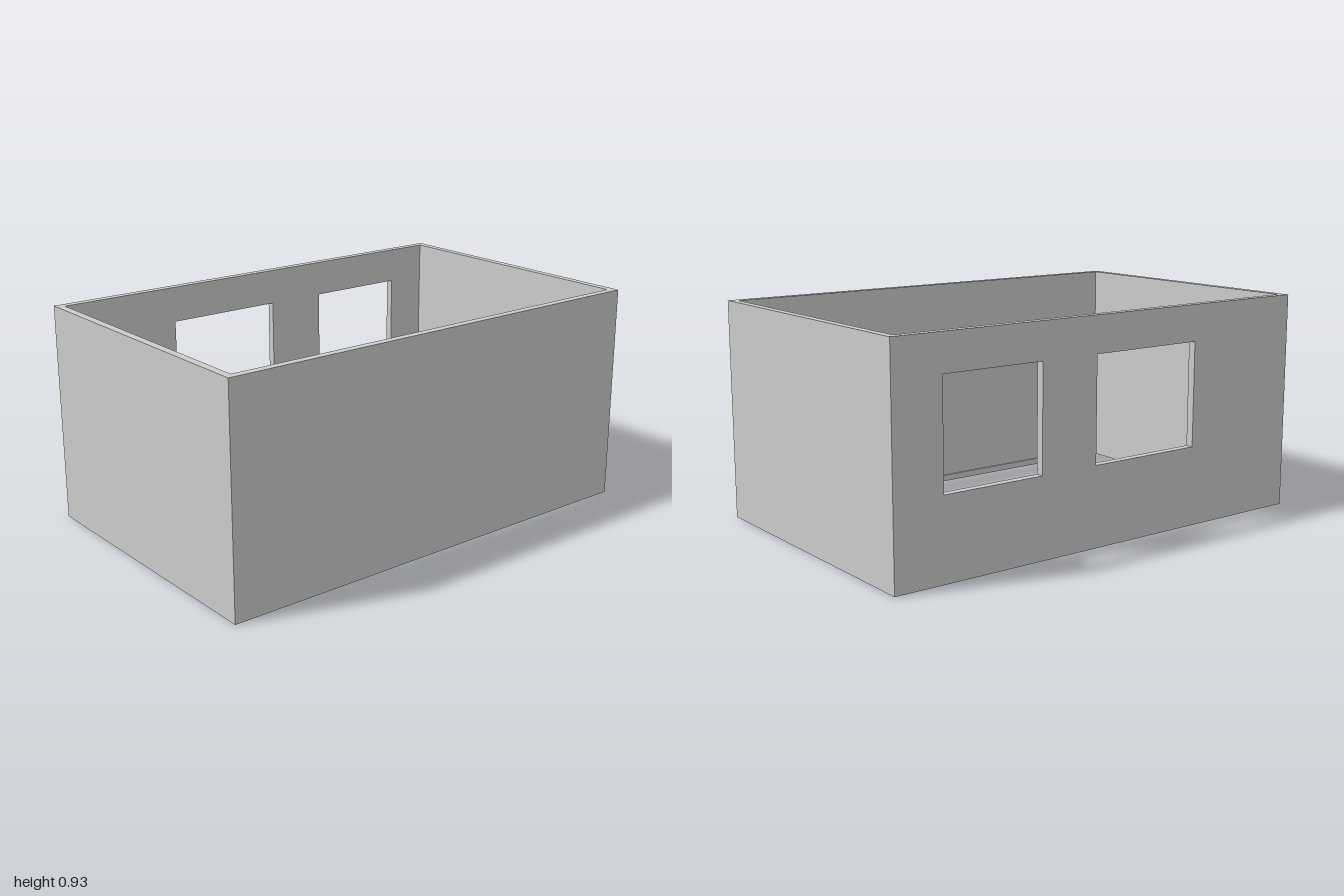
import * as THREE from 'three';

const W = 0.628, L = 1, H = 0.927, T = 0.033;   // half width, half length, height, wall thickness
const SK_H = 0.028, SK_T = 0.007;               // skirting height and thickness

export function createModel() {
  const group = new THREE.Group();
  group.name = 'roomShell';
  const plaster = new THREE.MeshStandardMaterial({ color: 0xcccccc });
  plaster.name = 'grey plaster';

  const add = (name, geometry) => {
    const mesh = new THREE.Mesh(geometry, plaster);
    mesh.name = name;
    group.add(mesh);
  };
  // Box given by its extents
  const block = (name, x0, x1, y0, y1, z0, z1) => add(name,
    new THREE.BoxGeometry(x1 - x0, y1 - y0, z1 - z0)
      .translate((x0 + x1) / 2, (y0 + y1) / 2, (z0 + z1) / 2));

  // Plain walls
  const ix = W - T, iz = L - T;
  block('leftWall', ix, W, 0, H, -L, L);
  block('frontWall', -ix, ix, 0, H, iz, L);
  block('backWall', -ix, ix, 0, H, -L, -iz);

  // Window wall: outline in (z, y) with two openings
  const rect = (Type, z0, z1, y0, y1) => new Type([
    new THREE.Vector2(z0, y0), new THREE.Vector2(z1, y0),
    new THREE.Vector2(z1, y1), new THREE.Vector2(z0, y1)]);
  const outline = rect(THREE.Shape, -L, L, 0, H);
  for (const [z0, z1] of [[-0.785, -0.337], [-0.071, 0.449]]) {
    outline.holes.push(rect(THREE.Path, z0, z1, 0.337, 0.775));
  }
  add('windowWall', new THREE.ExtrudeGeometry(outline, { depth: T, bevelEnabled: false })
    .rotateY(-Math.PI / 2).translate(-ix, 0, 0));

  // Skirting along the inside, with gaps for two doorways
  const sx = ix - SK_T, sz = iz - SK_T;
  block('rightSkirting', -ix, -sx, 0, SK_H, -iz, iz);
  block('backSkirting', -sx, sx, 0, SK_H, -iz, -sz);
  for (const [z0, z1] of [[-iz, -0.45], [-0.11, iz]]) block('leftSkirting', sx, ix, 0, SK_H, z0, z1);
  for (const [x0, x1] of [[-sx, 0.235], [0.575, sx]]) block('frontSkirting', x0, x1, 0, SK_H, sz, iz);

  return group;
}
